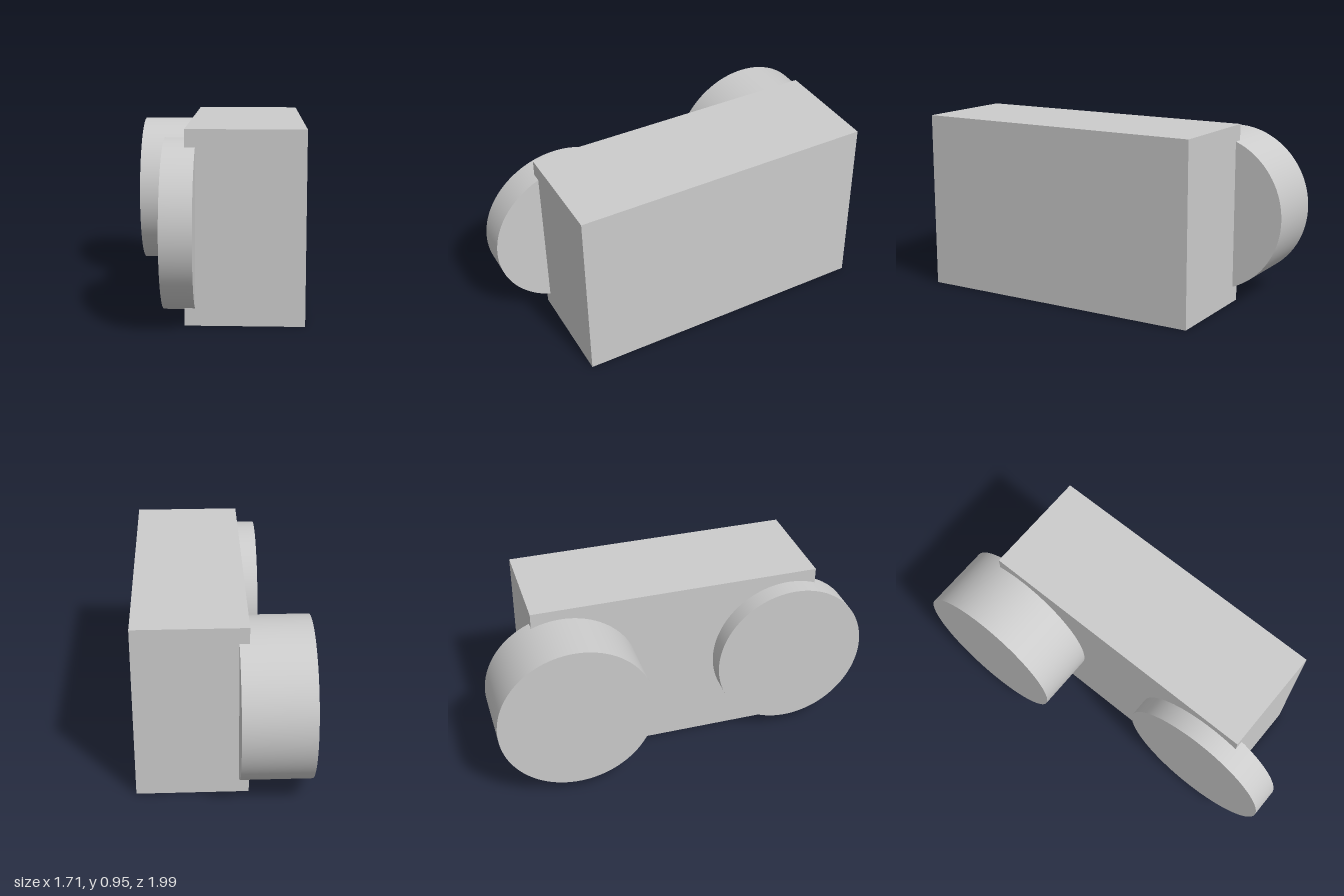
import * as THREE from 'three';

const HEIGHT = 0.953;
const RADIUS = 0.421;
const INNER_Z = -0.016; // inner faces of the discs, sunk slightly into the body

export function createModel() {
  const model = new THREE.Group();
  const material = new THREE.MeshStandardMaterial({ color: 0xcccccc });

  // Everything is laid out straight, then turned about the vertical axis
  const assembly = new THREE.Group();
  assembly.name = 'assembly';
  assembly.rotation.y = 0.87;
  model.add(assembly);

  const add = (name, geometry, x, z) => {
    const mesh = new THREE.Mesh(geometry, material);
    mesh.name = name;
    mesh.position.set(x, HEIGHT / 2, z);
    assembly.add(mesh);
  };

  // Rectangular body
  add('body', new THREE.BoxGeometry(1.583, HEIGHT, 0.582), -0.076, 0.224);

  // Round discs on the rear face, one thick and one thin
  const addDisc = (name, x, depth) => {
    const disc = new THREE.CylinderGeometry(RADIUS, RADIUS, depth, 96).rotateX(Math.PI / 2);
    add(name, disc, x, INNER_Z - depth / 2);
  };
  addDisc('thickDisc', 0.56, 0.37);
  addDisc('thinDisc', -0.709, 0.155);

  return model;
}
